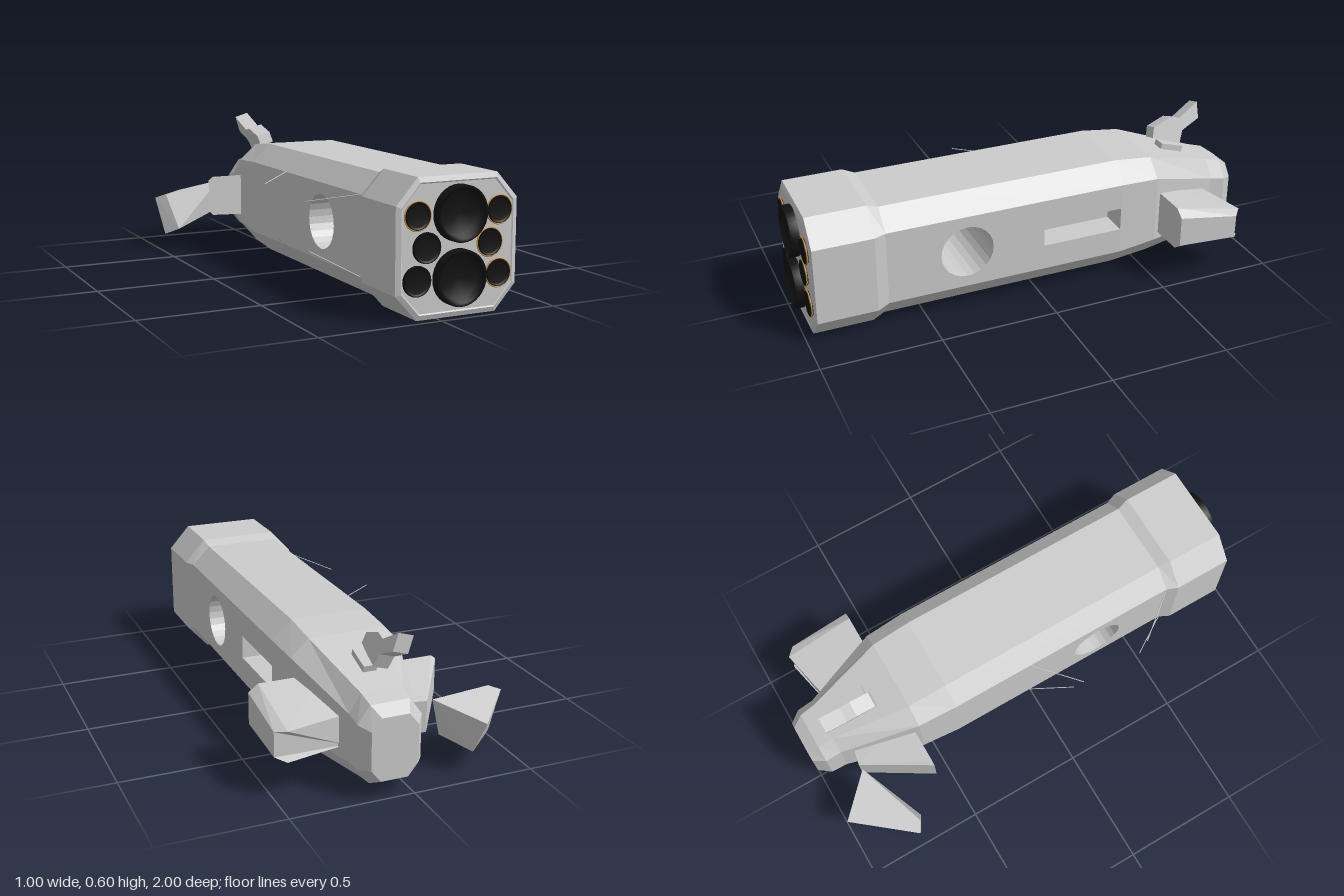
import * as THREE from 'three';
import { ConvexGeometry } from 'three/addons/geometries/ConvexGeometry.js';

const CX = 0.085; // hull axis
const grey = new THREE.MeshStandardMaterial({ color: 0xcccccc, flatShading: true });
const thin = new THREE.MeshStandardMaterial({ color: 0xcccccc, flatShading: true, side: THREE.DoubleSide });
const inner = new THREE.MeshStandardMaterial({ color: 0xcccccc, flatShading: true, side: THREE.BackSide });
const black = new THREE.MeshStandardMaterial({ color: 0x111111, side: THREE.DoubleSide });
const gold = new THREE.MeshStandardMaterial({ color: 0xc8923a });

// Skin between counterclockwise sections listed from front to back, with end caps
function loft(sections, keep = () => true) {
  const pos = [];
  const tri = (...pts) => pts.forEach((p) => pos.push(...p));
  const n = sections[0].length;
  for (let s = 0; s < sections.length - 1; s++) {
    for (let i = 0; i < n; i++) {
      if (!keep(s, i)) continue;
      const j = (i + 1) % n, A = sections[s], B = sections[s + 1];
      tri(A[i], B[i], A[j]);
      tri(A[j], B[i], B[j]);
    }
  }
  const first = sections[0], last = sections[sections.length - 1];
  for (let i = 1; i < n - 1; i++) {
    tri(first[0], first[i], first[i + 1]);
    tri(last[0], last[i + 1], last[i]);
  }
  const g = new THREE.BufferGeometry();
  g.setAttribute('position', new THREE.Float32BufferAttribute(pos, 3));
  g.computeVertexNormals();
  return g;
}

// Octagon: half width, flat half width, bottom, lower shoulder, upper shoulder, top
const octagon = ([z, w, f, y0, y1, y2, y3]) => [
  [-f, y0], [f, y0], [w, y1], [w, y2], [f, y3], [-f, y3], [-w, y2], [-w, y1],
].map(([x, y]) => [CX + x, y, z]);

const convex = (pts) => new ConvexGeometry(pts.map((p) => new THREE.Vector3(...p)));

export function createModel() {
  const root = new THREE.Group();
  const add = (name, geometry, material = grey, parent = root) => {
    const m = new THREE.Mesh(geometry, material);
    m.name = name;
    parent.add(m);
    return m;
  };

  // Hull; its flat mid sides are left out for the pierced walls
  const hull = [
    [0.965, 0.235, 0.16, 0.025, 0.11, 0.42, 0.505],
    [0.968, 0.24, 0.163, 0.02, 0.108, 0.422, 0.51],
    [0.96, 0.26, 0.17, 0, 0.1, 0.43, 0.53],
    [0.71, 0.26, 0.17, 0, 0.1, 0.43, 0.53],
    [0.66, 0.24, 0.16, 0.02, 0.11, 0.43, 0.51],
    [-0.38, 0.24, 0.16, 0.02, 0.11, 0.43, 0.51],
    [-0.55, 0.23, 0.155, 0.035, 0.125, 0.42, 0.49],
    [-0.88, 0.132, 0.085, 0.045, 0.115, 0.31, 0.385],
    [-0.95, 0.13, 0.08, 0.05, 0.115, 0.295, 0.365],
    [-1.0, 0.095, 0.055, 0.075, 0.125, 0.28, 0.33],
  ];
  add('hull', loft(hull.map(octagon), (s, i) => !(s === 4 && (i === 2 || i === 6))));

  // Mid side walls with a round hole, and a slot on the left one
  for (const side of [-1, 1]) {
    const wall = new THREE.Shape([[-0.38, 0.11], [0.66, 0.11], [0.66, 0.43], [-0.38, 0.43]]
      .map((p) => new THREE.Vector2(...p)));
    wall.holes.push(new THREE.Path().absarc(0.32, 0.27, 0.113, 0, Math.PI * 2, true));
    if (side > 0) {
      wall.holes.push(new THREE.Path([[-0.375, 0.22], [-0.375, 0.32], [-0.02, 0.32], [-0.02, 0.22]]
        .map((p) => new THREE.Vector2(...p))));
    }
    const g = new THREE.ShapeGeometry(wall, 12).rotateY(-Math.PI / 2);
    add(side > 0 ? 'leftWall' : 'rightWall', g.translate(CX + side * 0.24, 0, 0), thin);
  }
  add('crossTunnel', new THREE.CylinderGeometry(0.113, 0.113, 0.48, 24, 1, true)
    .rotateZ(Math.PI / 2).translate(CX, 0.27, 0.32), thin);
  add('sideBay', new THREE.BoxGeometry(0.12, 0.1, 0.355).translate(0.265, 0.27, -0.1975), inner);

  // Engine nozzles: x, y, radius, front z, gold rim
  const nozzles = [
    [0.085, 0.39, 0.107, 1.0, false], [0.085, 0.15, 0.107, 1.0, false],
    [-0.09, 0.39, 0.058, 0.975, true], [0.26, 0.39, 0.058, 0.975, true],
    [0.22, 0.27, 0.058, 0.975, true], [0.26, 0.15, 0.058, 0.975, true],
    [-0.05, 0.27, 0.058, 0.975, false], [-0.09, 0.15, 0.058, 0.975, false],
  ];
  const engines = new THREE.Group();
  engines.name = 'engines';
  root.add(engines);
  for (const [x, y, r, z, rim] of nozzles) {
    const R = rim ? r * 0.9 : r;
    const profile = [[R, 0.95], [R, z], [R * 0.88, z], [R * 0.8, 0.97], [0, 0.97]]
      .map((p) => new THREE.Vector2(...p));
    add('nozzle', new THREE.LatheGeometry(profile, 32).rotateX(Math.PI / 2).translate(x, y, 0), black, engines);
    if (rim) add('nozzleRim', new THREE.TorusGeometry(r * 0.94, 0.003, 6, 32).translate(x, y, 0.971), gold, engines);
  }

  // Intact left fin, tapering to the rear with a bevelled outer edge
  add('leftFin', loft([
    [[0.2, 0.155, -0.57], [0.455, 0.155, -0.57], [0.495, 0.185, -0.57],
      [0.495, 0.315, -0.57], [0.455, 0.345, -0.57], [0.2, 0.345, -0.57]],
    [[0.2, 0.155, -0.82], [0.455, 0.155, -0.875], [0.495, 0.168, -0.84],
      [0.495, 0.27, -0.84], [0.455, 0.28, -0.875], [0.2, 0.28, -0.82]],
  ]));

  // Broken right fin: stub cut on the diagonal
  const stub = [];
  for (const [x, z, y0, y1] of [
    [-0.03, -0.57, 0.155, 0.345], [-0.28, -0.57, 0.165, 0.345], [-0.3, -0.57, 0.185, 0.33],
    [-0.165, -0.77, 0.155, 0.3], [-0.125, -0.84, 0.155, 0.285], [-0.03, -0.82, 0.155, 0.285],
  ]) stub.push([x, y0, z], [x, y1, z]);
  add('rightFinStub', convex(stub));

  // Piece broken off the right fin, drifting beside the tail
  add('brokenFinPiece', convex([
    [-0.5, 0.235, -0.755], [-0.455, 0.25, -0.73], [-0.15, 0.285, -0.835], [-0.3, 0.225, -0.995],
    [-0.457, 0.06, -0.745], [-0.4, 0.085, -0.71], [-0.18, 0.135, -0.84], [-0.27, 0.095, -0.95],
  ]));

  // Bent dorsal fin, leaning to the right, above its base
  const bent = new THREE.Shape([
    [-0.66, 0.475], [-0.67, 0.52], [-0.755, 0.55], [-0.8, 0.54],
    [-0.895, 0.595], [-0.895, 0.525], [-0.81, 0.485], [-0.79, 0.43],
  ].map((p) => new THREE.Vector2(...p)));
  const dorsal = new THREE.ExtrudeGeometry(bent, { depth: 0.062, bevelEnabled: false })
    .rotateY(-Math.PI / 2);
  const p = dorsal.attributes.position;
  for (let i = 0; i < p.count; i++) {
    const across = p.getX(i) + 0.031, y = p.getY(i);
    p.setXYZ(i, 0.032 + across - 0.3 * (y - 0.49), y + across * 0.3, p.getZ(i));
  }
  dorsal.computeVertexNormals();
  add('dorsalFin', dorsal);
  add('dorsalBase', new THREE.BoxGeometry(0.055, 0.06, 0.11).rotateX(-0.28).translate(0.088, 0.43, -0.725));

  // Torn slivers at the corners of the right mid panel
  for (const [y, z, tip] of [
    [0.43, -0.02, [-0.325, 0.41, 0.14]], [0.43, 0.66, [-0.3, 0.385, 0.475]],
    [0.11, -0.02, [-0.265, 0.18, 0.14]], [0.11, 0.66, [-0.28, 0.185, 0.47]],
  ]) {
    const path = new THREE.LineCurve3(new THREE.Vector3(-0.155, y, z), new THREE.Vector3(...tip));
    add('tornSliver', new THREE.TubeGeometry(path, 1, 0.002, 4), grey);
  }
  return root;
}
